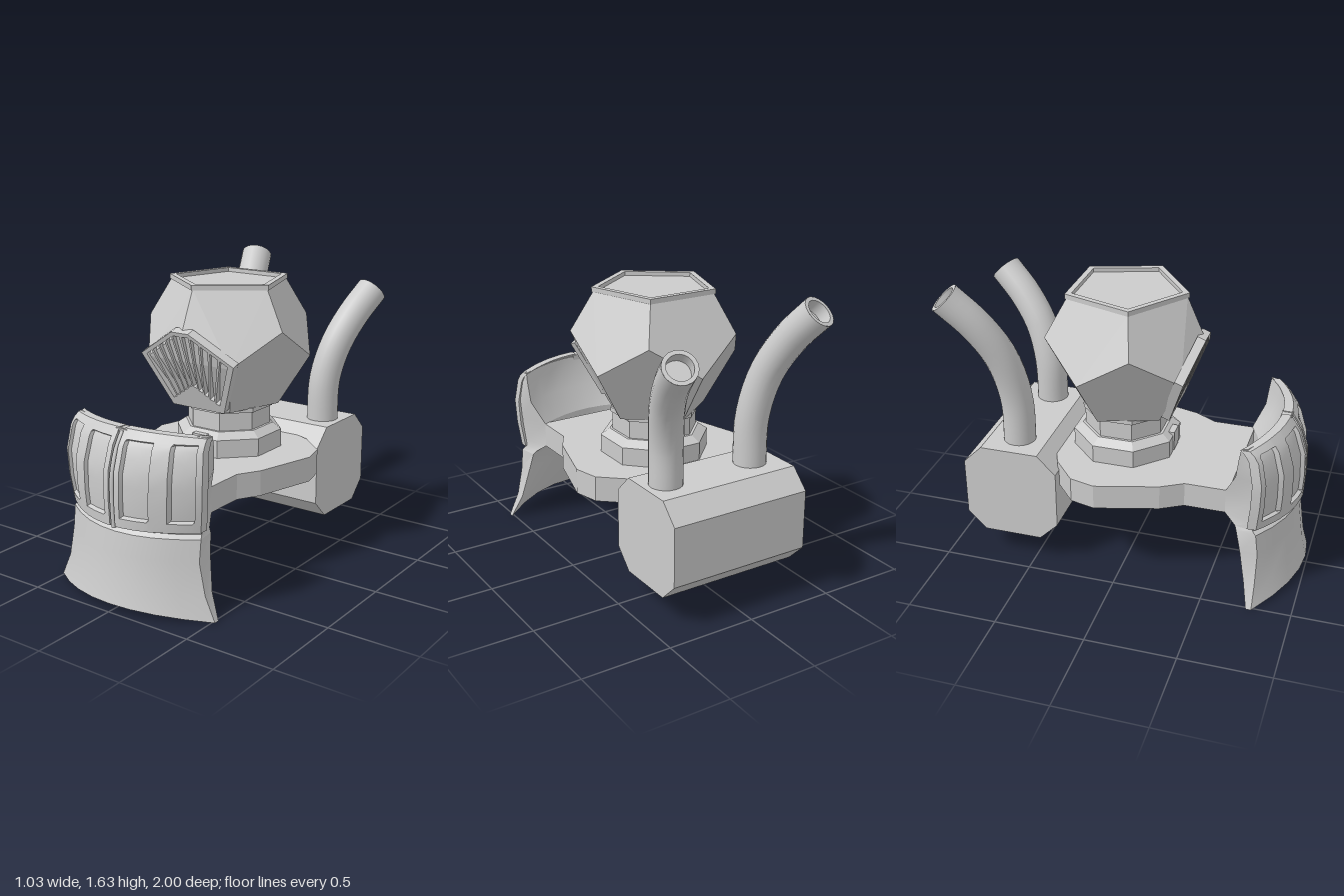
import * as THREE from 'three';
import { toCreasedNormals } from 'three/addons/utils/BufferGeometryUtils.js';
import { ConvexGeometry } from 'three/addons/geometries/ConvexGeometry.js';

const smooth = new THREE.MeshStandardMaterial({ color: 0xcccccc });
const flat = new THREE.MeshStandardMaterial({ color: 0xcccccc, flatShading: true });
const CZ = -0.065; // centre of head and neck

// Closed solid from stacked rings; each ring is a front edge (-x to +x) and a back edge (+x to -x)
function loft(rings, crease = 0.45) {
  const n = rings[0].length, pos = rings.flat(2), index = [];
  const quad = (a, b, c, d) => index.push(a, b, c, a, c, d);
  for (let i = 0; i < rings.length - 1; i++)
    for (let j = 0; j < n; j++) {
      const k = (j + 1) % n;
      quad(i * n + j, i * n + k, (i + 1) * n + k, (i + 1) * n + j);
    }
  const top = (rings.length - 1) * n;
  for (let j = 0; j < n / 2 - 1; j++) {
    const p = n - 1 - j;
    quad(top + j, top + j + 1, top + p - 1, top + p);
    quad(p, p - 1, j + 1, j);
  }
  const g = new THREE.BufferGeometry();
  g.setAttribute('position', new THREE.Float32BufferAttribute(pos, 3));
  g.setIndex(index);
  return toCreasedNormals(g, crease);
}

const bow = (side, centre, t) => side + (centre - side) * (1 - t * t);

// Linear lookup in rows whose first entry is the height
function lookup(rows, y) {
  let i = 0;
  while (i < rows.length - 2 && y > rows[i + 1][0]) i++;
  const a = rows[i], b = rows[i + 1], f = (y - a[0]) / (b[0] - a[0]);
  return a.map((v, k) => v + (b[k] - v) * f);
}

// Outline from its +x half, given as (x, z), mirrored
function mirroredShape(half) {
  const pts = [...half, ...half.slice().reverse().map(([x, z]) => [-x, z])];
  return new THREE.Shape(pts.map(([x, z]) => new THREE.Vector2(x, -z)));
}

const pentagon = (r, y, offset) => Array.from({ length: 5 }, (_, i) => {
  const a = (i + offset) * Math.PI * 0.4;
  return new THREE.Vector3(Math.sin(a) * r, y, CZ + Math.cos(a) * r);
});

export function createModel() {
  const model = new THREE.Group();
  const add = (name, geometry, material = flat, parent = model) => {
    const mesh = new THREE.Mesh(geometry, material);
    mesh.name = name;
    parent.add(mesh);
    return mesh;
  };

  // Shoulder plate
  const plate = new THREE.ExtrudeGeometry(mirroredShape([
    [0.35, 0.6], [0.35, 0.36], [0.42, 0.24], [0.515, -0.1], [0.48, -0.24], [0.33, -0.37], [0.2, -0.42],
  ]), { depth: 0.14, bevelEnabled: false });
  plate.rotateX(-Math.PI / 2).translate(0, 0.49, 0);
  add('shoulderPlate', plate);

  // Chest core: flared skirt, waist, and scooped collar behind the armour
  // y, front half width, front side z, front centre z, back half width, back side z, back centre z, centre rise
  const core = [
    [0, 0.515, 0.785, 0.995, 0.515, 0.755, 0.965, 0.045],
    [0.13, 0.455, 0.785, 0.965, 0.455, 0.725, 0.9, 0.03],
    [0.3, 0.42, 0.785, 0.945, 0.42, 0.69, 0.82, 0.01],
    [0.42, 0.42, 0.77, 0.93, 0.4, 0.66, 0.76, 0],
    [0.44, 0.41, 0.75, 0.91, 0.385, 0.65, 0.745, 0],
    [0.49, 0.41, 0.75, 0.91, 0.35, 0.585, 0.69, 0],
    [0.63, 0.42, 0.76, 0.92, 0.35, 0.585, 0.69, 0],
    [0.76, 0.43, 0.76, 0.915, 0.41, 0.645, 0.76, 0],
    [0.88, 0.42, 0.735, 0.87, 0.42, 0.66, 0.8, 0],
    [0.935, 0.41, 0.7, 0.835, 0.42, 0.67, 0.81, 0],
  ];
  const steps = Array.from({ length: 9 }, (_, i) => i / 4 - 1);
  add('chestCore', loft(core.map(([y, fw, fs, fc, bw, bs, bc, rise]) => [
    ...steps.map(t => [t * fw, y + rise * (1 - t * t), bow(fs, fc, t)]),
    ...steps.map(t => [-t * bw, y + rise * (1 - t * t), bow(bs, bc, t)]),
  ])), smooth);

  // Chest armour halves, each with two recessed panels
  const armour = [
    [0.455, 0.42, 0.77, 0.95], [0.6, 0.438, 0.785, 0.957], [0.74, 0.445, 0.79, 0.952],
    [0.87, 0.432, 0.765, 0.91], [0.95, 0.42, 0.715, 0.855],
  ];
  const cols = [0.04, 0.11, 0.13, 0.29, 0.45, 0.47, 0.67, 0.69, 0.81, 0.92, 0.94, 1];
  const rows = [0.455, 0.505, 0.515, 0.6, 0.67, 0.74, 0.81, 0.87, 0.895, 0.905, 0.95];
  const inPanel = (t, y) => y > 0.51 && y < 0.9 && ((t > 0.12 && t < 0.46) || (t > 0.68 && t < 0.93));
  for (const s of [-1, 1]) {
    const ts = cols.map(t => t * s).sort((a, b) => a - b);
    const rings = rows.map(y => {
      const [, w, side, centre] = lookup(armour, y);
      const point = (t, inset) => [t * w, y - 0.02 * t * t * (y > 0.94), bow(side, centre, t) - inset];
      return [
        ...ts.map(t => point(t, inPanel(Math.abs(t), y) ? 0.022 : 0)),
        ...ts.slice().reverse().map(t => point(t, 0.05)),
      ];
    });
    add(s > 0 ? 'leftChestArmour' : 'rightChestArmour', loft(rings, 0.35), smooth);
  }
  const seam = new THREE.CatmullRomCurve3(armour.map(([y, , , z]) => new THREE.Vector3(0, y - 0.01, z - 0.012)));
  add('chestSeam', new THREE.TubeGeometry(seam, 10, 0.014, 6), smooth);
  add('chestClasp', new THREE.BoxGeometry(0.07, 0.03, 0.06).translate(0, 0.93, 0.83));

  // Octagonal neck and collar
  const octagon = (name, rTop, rBottom, y0, y1) => add(name,
    new THREE.CylinderGeometry(rTop, rBottom, y1 - y0, 8).rotateY(Math.PI / 8).translate(0, (y0 + y1) / 2, CZ));
  octagon('collar', 0.3, 0.3, 0.62, 0.73);
  octagon('collarBevel', 0.25, 0.3, 0.73, 0.765);
  octagon('neck', 0.235, 0.235, 0.74, 0.865);
  octagon('neckFlange', 0.245, 0.245, 0.865, 0.89);
  add('collarLatch', new THREE.BoxGeometry(0.09, 0.11, 0.09).translate(0, 0.695, 0.175));

  // Twelve-sided head with its top cut flat
  const headPoints = [
    ...pentagon(0.285, 0.885, 0.5), ...pentagon(0.461, 1.17, 0.5),
    ...pentagon(0.461, 1.346, 0), ...pentagon(0.332, 1.555, 0),
  ];
  headPoints[10].z = 0.36;
  add('head', new ConvexGeometry(headPoints));

  // Raised rim round the top
  const ring = r => pentagon(r, 0, 0).map(p => new THREE.Vector2(p.x, -p.z));
  const rimShape = new THREE.Shape(ring(0.343));
  rimShape.holes.push(new THREE.Path(ring(0.305)));
  const rim = new THREE.ExtrudeGeometry(rimShape, { depth: 0.027, bevelEnabled: false });
  add('headRim', rim.rotateX(-Math.PI / 2).translate(0, 1.55, 0));

  // Face grille with fanned slots
  const grille = mirroredShape([[0.17, 0], [0.304, -0.31], [0.055, -0.475]]);
  for (const s of [-1, 1])
    for (let k = 0; k < 5; k++) {
      const inner = 0.008 + k * 0.054, outer = inner + 0.042;
      const topAt = x => Math.min(0.452, 0.452 - (x - 0.05) * 0.66);
      const low = 0.145 - k * 0.022;
      const corners = [[inner * 0.58, low], [outer * 0.58, low - 0.01], [outer, topAt(outer)], [inner, topAt(inner)]];
      grille.holes.push(new THREE.Path(corners.map(([x, y]) => new THREE.Vector2(s * x, y))));
    }
  const visor = add('faceGrille',
    new THREE.ExtrudeGeometry(grille, { depth: 0.05, bevelEnabled: false }).translate(0, 0, -0.05));
  visor.position.set(0, 0.895, 0.222);
  visor.rotation.x = THREE.MathUtils.degToRad(20);

  // Chamfered back tank
  const tank = new THREE.Shape([
    [0.46, 0.15], [0.79, 0.15], [0.895, 0.255], [0.895, 0.585], [0.79, 0.69], [0.46, 0.69], [0.355, 0.585], [0.355, 0.255],
  ].map(p => new THREE.Vector2(...p)));
  add('backTank', new THREE.ExtrudeGeometry(tank, { depth: 0.82, bevelEnabled: false })
    .rotateY(Math.PI / 2).translate(-0.41, 0, 0));

  // Bent exhaust pipes: the right one is taller
  const pipes = {
    rightExhaust: [[-0.245, 0.66, -0.62], [-0.25, 0.95, -0.625], [-0.29, 1.2, -0.68], [-0.345, 1.4, -0.79], [-0.4, 1.565, -0.935]],
    leftExhaust: [[0.285, 0.66, -0.62], [0.29, 0.93, -0.63], [0.325, 1.13, -0.69], [0.37, 1.29, -0.8], [0.415, 1.42, -0.935]],
  };
  for (const [name, points] of Object.entries(pipes)) {
    const pipe = new THREE.Group();
    pipe.name = name;
    model.add(pipe);
    const curve = new THREE.CatmullRomCurve3(points.map(p => new THREE.Vector3(...p)));
    add('pipeWall', new THREE.TubeGeometry(curve, 16, 0.09, 20), smooth, pipe);
    const end = curve.getPointAt(1), dir = curve.getTangentAt(1);
    const cap = new THREE.Group();
    cap.name = 'pipeMouth';
    cap.position.copy(end);
    cap.quaternion.setFromUnitVectors(new THREE.Vector3(0, 0, 1), dir);
    pipe.add(cap);
    add('mouthRing', new THREE.RingGeometry(0.068, 0.09, 20), smooth, cap);
    const bore = new THREE.CylinderGeometry(0.068, 0.068, 0.07, 20, 1, true).rotateX(Math.PI / 2).translate(0, 0, -0.035);
    const inside = smooth.clone();
    inside.side = THREE.DoubleSide;
    add('mouthBore', bore, inside, cap);
    add('mouthFloor', new THREE.CircleGeometry(0.068, 20).translate(0, 0, -0.07), smooth, cap);
  }
  return model;
}
